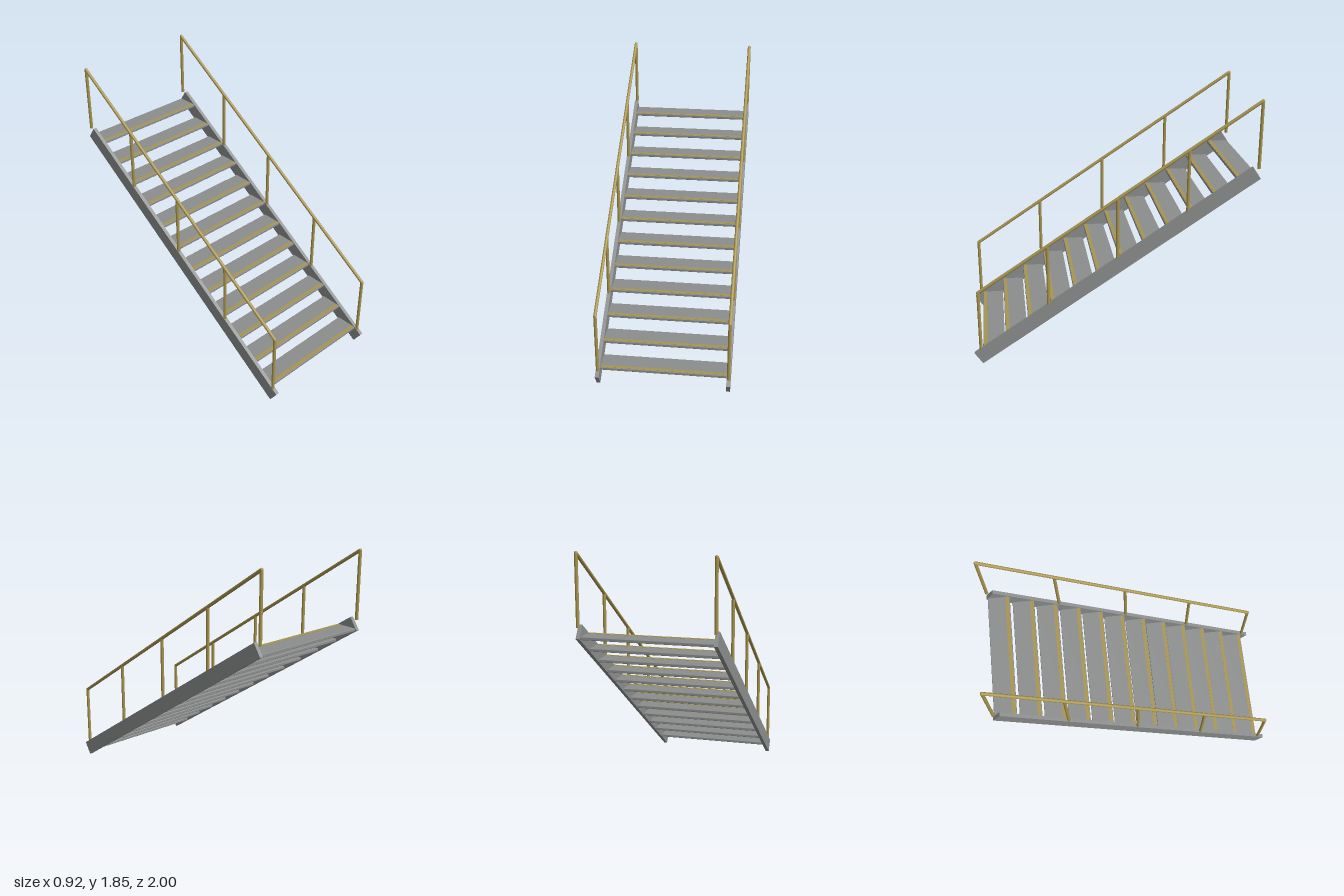
import * as THREE from 'three';
import { RoundedBoxGeometry } from 'three/addons/geometries/RoundedBoxGeometry.js';

export function createModel() {
  const model = new THREE.Group();
  model.name = 'openStaircase';
  const steel = new THREE.MeshStandardMaterial({ name: 'grey steel', color: 0x8c8e8e });
  const yellow = new THREE.MeshStandardMaterial({ name: 'dull yellow', color: 0xa8944e });

  const add = (name, geometry, material, x, y, z) => {
    const mesh = new THREE.Mesh(geometry, material);
    mesh.name = name;
    mesh.position.set(x, y, z);
    model.add(mesh);
    return mesh;
  };

  const slope = 1.3 / 1.945;
  const pitch = Math.atan(slope);
  const sideX = 0.447;
  const tubeRadius = 0.0115;

  // Round bar between two points
  const bar = (name, a, b) => {
    const dir = b.clone().sub(a);
    const mid = a.clone().add(b).multiplyScalar(0.5);
    const mesh = add(name, new THREE.CylinderGeometry(tubeRadius, tubeRadius, dir.length(), 16), yellow, mid.x, mid.y, mid.z);
    mesh.quaternion.setFromUnitVectors(new THREE.Vector3(0, 1, 0), dir.normalize());
  };

  // Treads with a thin anti-slip strip near the front edge
  const treadGeometry = new RoundedBoxGeometry(0.872, 0.021, 0.154, 2, 0.004);
  const stripGeometry = new THREE.BoxGeometry(0.864, 0.003, 0.024);
  for (let i = 0; i < 12; i++) {
    const y = 0.116 + i * 0.1079;
    const front = 0.939 - i * 0.1614;
    add('tread', treadGeometry, steel, 0, y, front - 0.077);
    add('nosingStrip', stripGeometry, yellow, 0, y + 0.0105, front - 0.017);
  }

  for (const side of [-1, 1]) {
    const x = side * sideX;
    const label = side > 0 ? 'left' : 'right';

    // Sloping side beam
    const stringer = add(label + 'Stringer', new THREE.BoxGeometry(0.026, 0.101, 2.339), steel, x, 0.6925, 0);
    stringer.rotation.x = pitch;

    // Posts, evenly spaced and set into the beam
    const railY = (z) => 0.552 + (0.954 - z) * 0.6645;
    const frontZ = 0.954, backZ = -0.987;
    for (let i = 0; i < 5; i++) {
      const z = frontZ + (backZ - frontZ) * i / 4;
      const beamTop = 1.385 - (z + 0.945) * slope;
      bar(label + 'Post', new THREE.Vector3(x, beamTop - 0.042, z), new THREE.Vector3(x, railY(z), z));
    }

    // Handrail with rounded corners at both ends
    bar(label + 'Handrail', new THREE.Vector3(x, railY(frontZ), frontZ), new THREE.Vector3(x, railY(backZ), backZ));
    for (const z of [frontZ, backZ]) {
      add(label + 'RailCorner', new THREE.SphereGeometry(tubeRadius, 16, 10), yellow, x, railY(z), z);
    }
  }
  return model;
}
